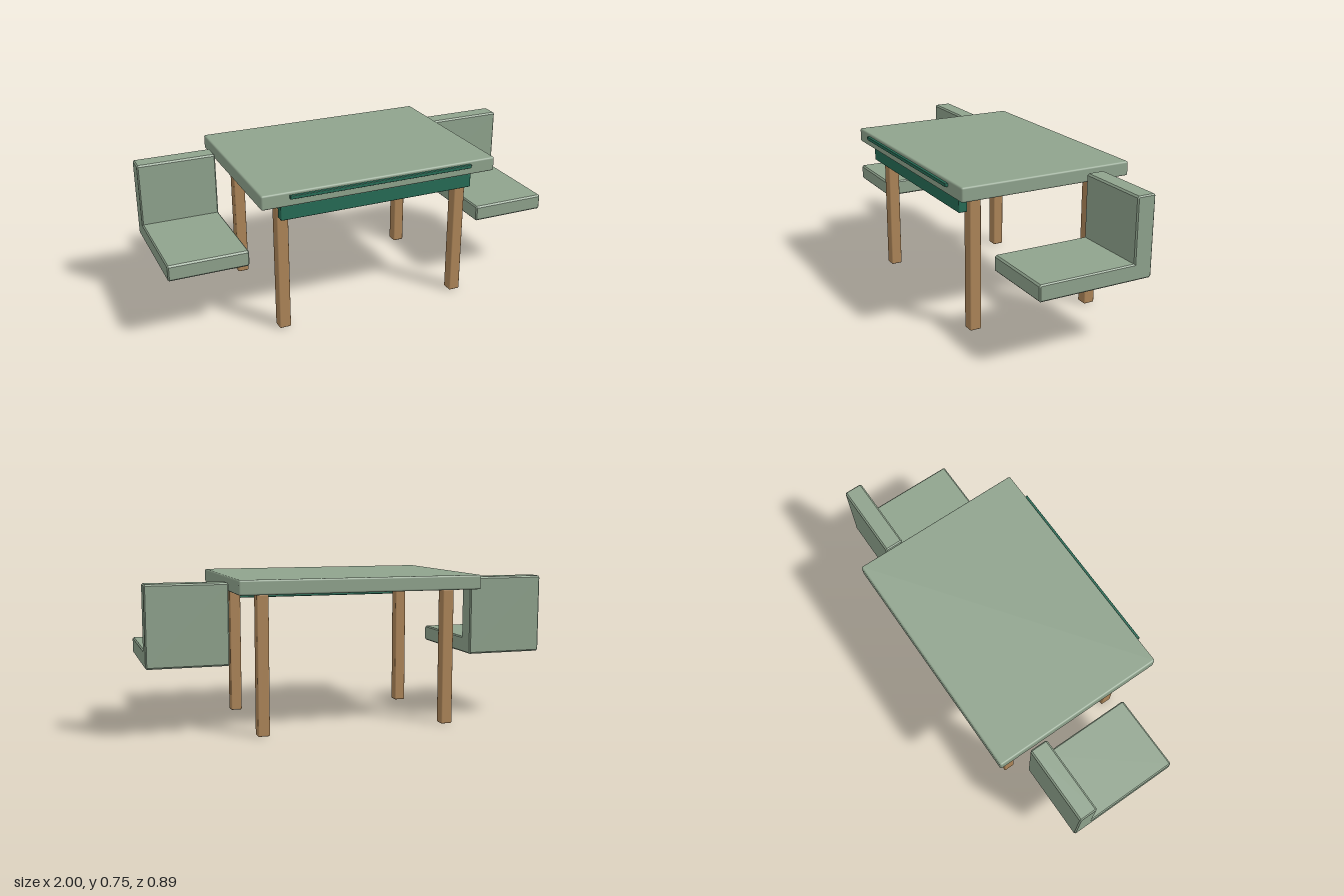
import * as THREE from 'three';
import { RoundedBoxGeometry } from 'three/addons/geometries/RoundedBoxGeometry.js';

const mat = (name, color) => {
  const m = new THREE.MeshStandardMaterial({ color });
  m.name = name;
  return m;
};

export function createModel() {
  const model = new THREE.Group();
  model.name = 'tableWithSeats';
  const sage = mat('sage', 0x8fa38d);
  const wood = mat('wood', 0xad8558);
  const green = mat('darkGreen', 0x266b55);

  // Softly bevelled box given by its minimum and maximum corners
  const box = (name, material, [x0, y0, z0], [x1, y1, z1], r) => {
    const geo = new RoundedBoxGeometry(x1 - x0, y1 - y0, z1 - z0, 2, r);
    const mesh = new THREE.Mesh(geo, material);
    mesh.name = name;
    mesh.position.set((x0 + x1) / 2, (y0 + y1) / 2, (z0 + z1) / 2);
    model.add(mesh);
  };

  // Table top with a trim strip on its front edge and a rail below
  box('tableTop', sage, [-0.597, 0.675, -0.446], [0.597, 0.745, 0.434], 0.009);
  box('trimStrip', green, [-0.463, 0.713, 0.425], [0.463, 0.73, 0.448], 0.002);
  box('frontRail', green, [-0.493, 0.592, 0.353], [0.493, 0.664, 0.396], 0.005);

  // Four legs
  for (const side of [-1, 1]) {
    const x = side * 0.466;
    for (const [name, z] of [['frontLeg', 0.313], ['backLeg', -0.324]]) {
      box(name, wood, [x - 0.029, 0, z - 0.029], [x + 0.029, 0.672, z + 0.029], 0.007);
    }
  }

  // L-shaped seat profile (shape x = depth towards the front, y = height), corners cut
  const c = 0.008;
  const [back, rest, front] = [-0.295, -0.201, 0.281];
  const [low, cushion, high] = [0.335, 0.414, 0.724];
  const profile = new THREE.Shape([
    [back + c, low], [front - c, low], [front, low + c],
    [front, cushion - c], [front - c, cushion], [rest, cushion],
    [rest, high - c], [rest - c, high], [back + c, high],
    [back, high - c], [back, low + c],
  ].map(([z, y]) => new THREE.Vector2(z, y)));
  const b = 0.006;
  const width = 0.388;
  const seatGeo = new THREE.ExtrudeGeometry(profile, {
    depth: width - 2 * b, bevelEnabled: true, bevelThickness: b,
    bevelSize: b, bevelOffset: -b, bevelSegments: 1,
  });
  // Centre the width, then turn the profile so depth runs along z
  seatGeo.translate(0, 0, -(width - 2 * b) / 2);
  seatGeo.rotateY(-Math.PI / 2);

  for (const [name, side] of [['leftSeat', 1], ['rightSeat', -1]]) {
    const seat = new THREE.Mesh(seatGeo, sage);
    seat.name = name;
    seat.position.x = side * 0.806;
    model.add(seat);
  }
  return model;
}
